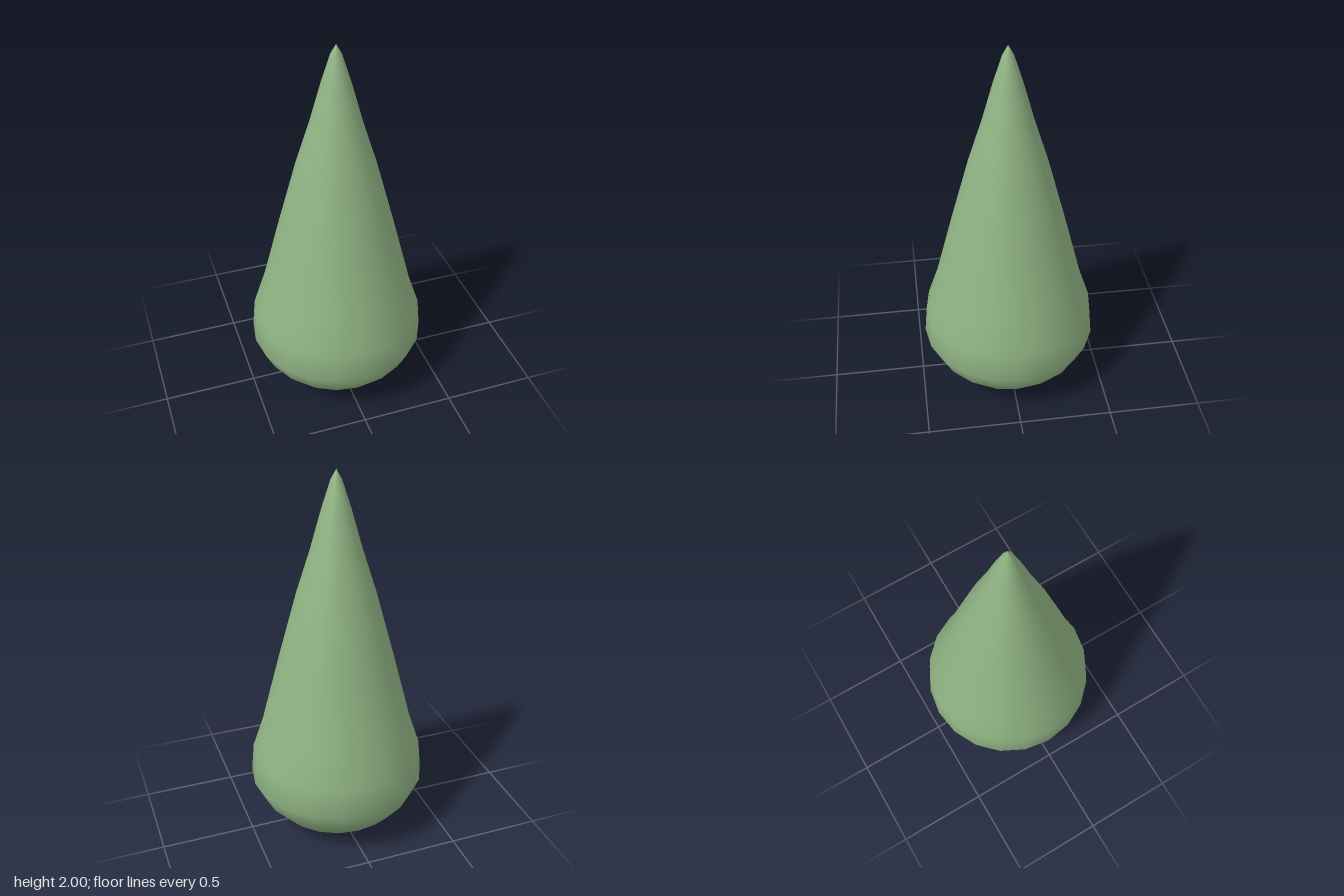
import * as THREE from 'three';

export function createModel() {
  const group = new THREE.Group();

  // Teardrop profile, radius and height from the rounded base to the tip
  const profile = [
    [0, 0], [0.19, 0.03], [0.34, 0.09], [0.42, 0.18], [0.472, 0.29],
    [0.457, 0.45], [0.4, 0.62], [0.302, 1.0], [0.205, 1.36],
    [0.13, 1.6], [0.075, 1.8], [0.028, 1.95], [0, 2],
  ].map(([r, y]) => new THREE.Vector2(r, y));

  // Smooth body turned around the upright axis
  const body = new THREE.Mesh(
    new THREE.LatheGeometry(profile, 20),
    new THREE.MeshStandardMaterial({ color: 0x8fb383 })
  );
  body.name = 'teardropBody';
  group.add(body);

  return group;
}
